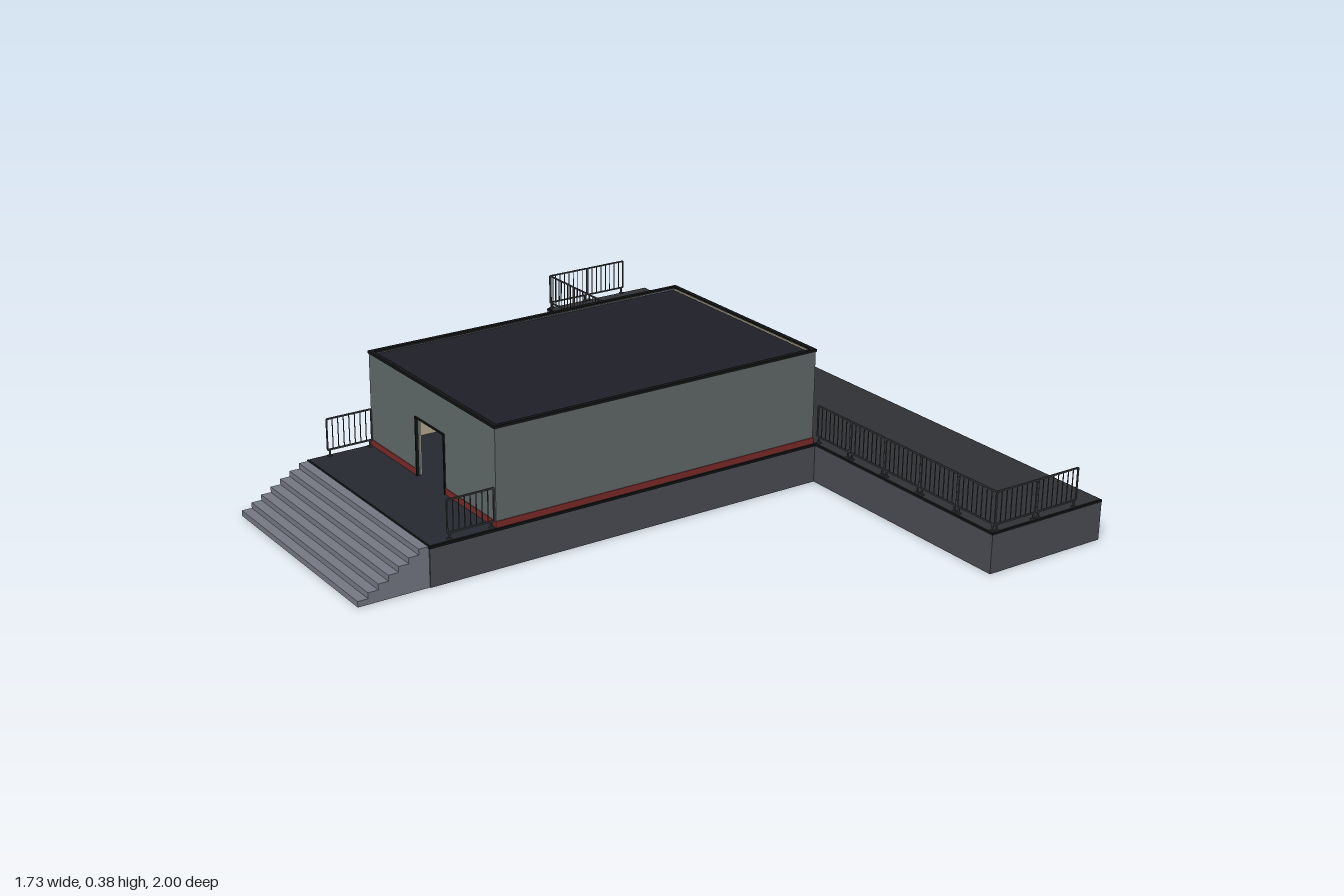
import * as THREE from 'three';
import { mergeGeometries } from 'three/addons/utils/BufferGeometryUtils.js';

const mat = (color) => new THREE.MeshStandardMaterial({ color });
const M = {
  wall: mat(0x606868), inner: mat(0xb0a890), base: mat(0x494b52), paving: mat(0x303134),
  deck: mat(0x25282f), roof: mat(0x1e1f27), trim: mat(0x121314), red: mat(0x7a2a28),
  step: mat(0x747682), rail: mat(0x3a3c3e), sign: mat(0x34343e),
};
const DECK = 0.11, ROOF = 0.375, X0 = -0.485, X1 = 0.49, ZW = 0.315, DOOR = 0.07;

// Box geometry given by its min and max corners
function span(x0, x1, y0, y1, z0, z1) {
  return new THREE.BoxGeometry(x1 - x0, y1 - y0, z1 - z0)
    .translate((x0 + x1) / 2, (y0 + y1) / 2, (z0 + z1) / 2);
}

// Slab in the y/z plane with a doorway notch and an optional window hole
function endWall(x, depth, half, hasWindow) {
  const s = new THREE.Shape();
  [[-half, DECK], [-DOOR, DECK], [-DOOR, 0.27], [DOOR, 0.27], [DOOR, DECK],
    [half, DECK], [half, 0.37], [-half, 0.37]]
    .forEach(([u, v], i) => (i ? s.lineTo(u, v) : s.moveTo(u, v)));
  if (hasWindow) {
    const h = new THREE.Path();
    h.moveTo(-0.25, 0.185).lineTo(-0.25, 0.268).lineTo(-0.13, 0.268).lineTo(-0.13, 0.185);
    s.holes.push(h);
  }
  return new THREE.ExtrudeGeometry(s, { depth, bevelEnabled: false })
    .rotateY(Math.PI / 2).translate(x, 0, 0);
}

// Rectangular frame lying in the y/z plane
function frame(x, y0, y1, z0, z1, t, withSill) {
  const a = x - 0.004, b = x + 0.004;
  const parts = [span(a, b, y0, y1, z0, z0 + t), span(a, b, y0, y1, z1 - t, z1), span(a, b, y1 - t, y1, z0, z1)];
  if (withSill) parts.push(span(a, b, y0, y0 + t, z0, z1));
  return mergeGeometries(parts);
}

// Row of railing panels running along +x from the origin
function railing(count, length) {
  const parts = [], bars = 8;
  for (let p = 0; p < count; p++) {
    const a = p * length + 0.002, b = (p + 1) * length - 0.002;
    for (const y of [0.128, 0.214]) parts.push(span(a, b, y - 0.002, y + 0.002, -0.002, 0.002));
    for (let i = 0; i <= bars; i++) {
      const x = a + (b - a) * i / bars, r = i % bars ? 0.001 : 0.0018;
      parts.push(span(x - r, x + r, 0.128, 0.214, -r, r));
    }
    // short feet near both ends of the panel
    for (const x of [a + 0.006, b - 0.006]) {
      parts.push(span(x - 0.002, x + 0.002, DECK, 0.128, -0.002, 0.002));
      parts.push(span(x - 0.005, x + 0.005, DECK, DECK + 0.003, -0.005, 0.005));
    }
  }
  return mergeGeometries(parts);
}

export function createModel() {
  const model = new THREE.Group();
  model.name = 'stationBuilding';
  const add = (name, geometry, material) => {
    const m = new THREE.Mesh(geometry, material);
    m.name = name;
    model.add(m);
    return m;
  };

  // Platform and building foundation, each with a dark edge and a paved top
  add('platformBase', span(0.497, 0.862, 0, 0.103, -1, 1), M.base);
  add('platformEdge', span(0.496, 0.863, 0.103, 0.109, -1, 1), M.trim);
  add('platformPaving', span(0.499, 0.86, 0.109, DECK, -0.997, 0.997), M.paving);
  add('foundation', span(-0.672, 0.497, 0, 0.103, -0.318, 0.318), M.base);
  add('foundationEdge', span(-0.674, 0.496, 0.103, 0.109, -0.321, 0.321), M.trim);
  add('foundationDeck', span(-0.67, 0.499, 0.109, DECK, -0.316, 0.316), M.deck);

  // Staircase extruded across the foundation width
  const stairs = new THREE.Shape();
  const steps = 7, run = 0.195 / steps, rise = 0.108 / steps;
  stairs.moveTo(-0.672, 0).lineTo(-0.867, 0);
  for (let i = 0; i < steps; i++) {
    stairs.lineTo(-0.867 + i * run, (i + 1) * rise);
    stairs.lineTo(-0.867 + (i + 1) * run, (i + 1) * rise);
  }
  add('stairs', new THREE.ExtrudeGeometry(stairs, { depth: 0.63, bevelEnabled: false })
    .translate(0, 0, -0.315), M.step);

  // Long walls with inner lining and red plinth
  for (const s of [-1, 1]) {
    const side = (n, f) => [Math.min(s * n, s * f), Math.max(s * n, s * f)];
    add('longWall', span(X0, X1, DECK, 0.37, ...side(0.305, ZW)), M.wall);
    add('longWallLining', span(X0 + 0.012, X1 - 0.012, DECK, 0.355, ...side(0.302, 0.305)), M.inner);
    add('longPlinth', span(X0 - 0.002, X1 + 0.002, DECK, 0.127, ...side(ZW, ZW + 0.002)), M.red);
    for (const x of [X0 - 0.002, X1]) {
      add('endPlinth', span(x, x + 0.002, DECK, 0.127, ...side(DOOR + 0.003, ZW + 0.002)), M.red);
    }
  }

  // End walls with doorways; the platform side also has a window
  add('platformWall', endWall(X1 - 0.01, 0.01, 0.305, true), M.wall);
  add('platformWallLining', endWall(X1 - 0.013, 0.003, 0.302, true), M.inner);
  add('stairWall', endWall(X0, 0.01, 0.305, false), M.wall);
  add('stairWallLining', endWall(X0 + 0.01, 0.003, 0.302, false), M.inner);
  for (const x of [X0, X1]) {
    add('doorFrame', frame(x, DECK, 0.273, -DOOR - 0.003, DOOR + 0.003, 0.004, false), M.trim);
  }
  add('windowFrame', frame(X1, 0.182, 0.271, 0.127, 0.253, 0.005, true), M.trim);

  // Recessed roof inside a dark rim
  add('roof', span(X0 + 0.01, X1 - 0.01, 0.355, 0.366, -0.305, 0.305), M.roof);
  for (const s of [-1, 1]) {
    add('roofRimLong', span(X0 - 0.002, X1 + 0.002, 0.368, ROOF, s * 0.311 - 0.006, s * 0.311 + 0.006), M.trim);
    const x = s < 0 ? X0 - 0.002 : X1 - 0.01;
    add('roofRimEnd', span(x, x + 0.012, 0.368, ROOF, -0.305, 0.305), M.trim);
  }

  // Blank sign board over the platform door
  add('signBoard', span(X1, X1 + 0.006, 0.318, 0.354, -0.102, 0.102), M.sign);
  add('signStripe', span(X1, X1 + 0.006, 0.312, 0.318, -0.102, 0.102), M.red);

  // Railings along the platform's inner edge, its ends and the stair landing
  for (const s of [-1, 1]) {
    const long = add('platformRailing', railing(5, 0.1365), M.rail);
    long.rotation.y = Math.PI / 2;
    long.position.set(0.505, 0, s > 0 ? 0.998 : -0.316);
    add('platformEndRailing', railing(2, 0.136), M.rail).position.set(0.505, 0, s * 0.995);
    add('landingRailing', railing(1, 0.134), M.rail).position.set(-0.62, 0, s * 0.31);
  }
  return model;
}
